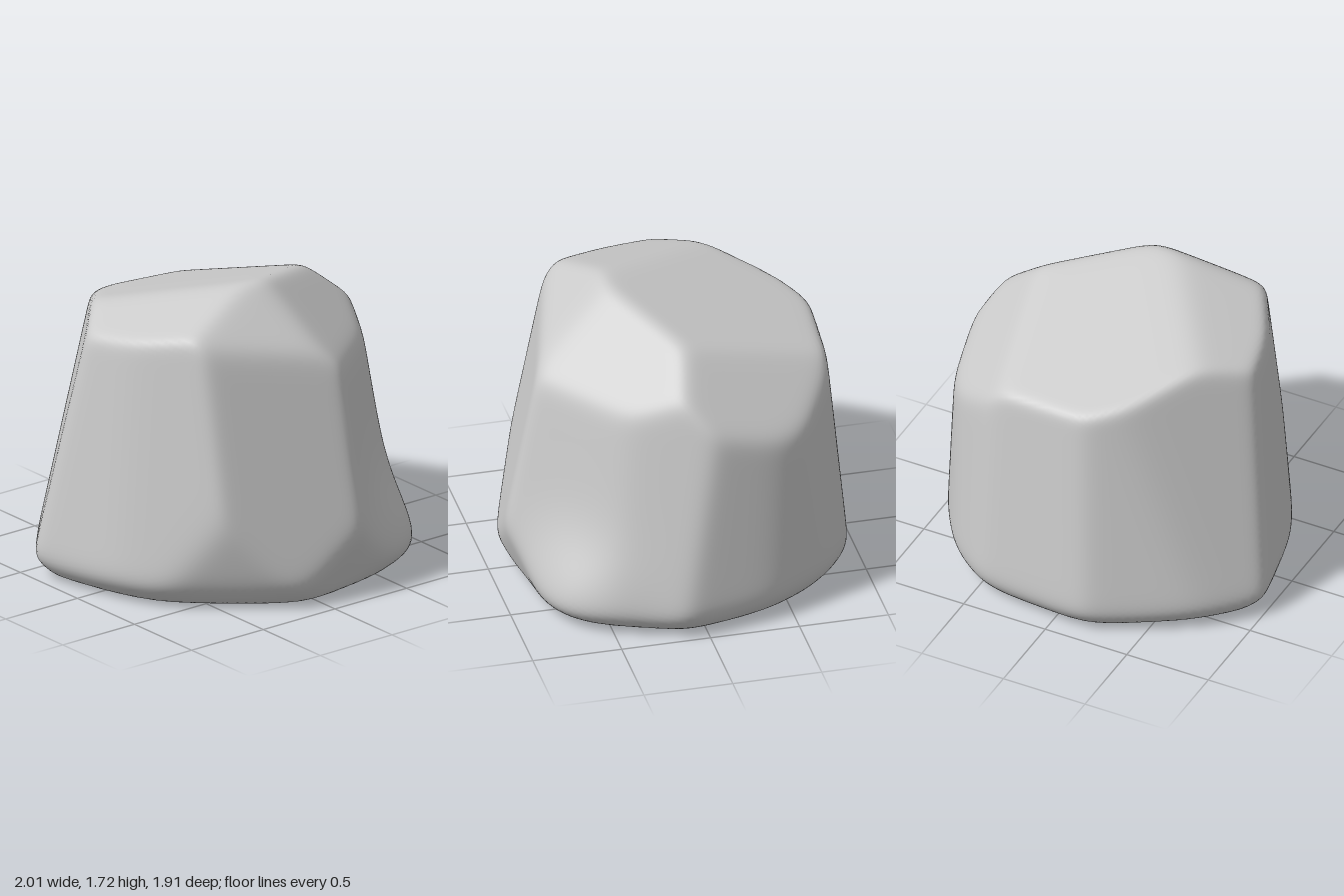
import * as THREE from 'three';
import { mergeVertices } from 'three/addons/utils/BufferGeometryUtils.js';

// Each facet of the boulder: a facing direction and a point it passes through.
const SIDES = [
  { n: [-0.25, 0.2, 1], p: [0.2, 0.6, 0.925] },       // front
  { n: [0.62, 0.15, 0.74], p: [0.23, 0.5, 0.94] },    // front left
  { n: [0.89, 0.16, 0.45], p: [0.86, 0.2, 0.45] },    // left, towards the front
  { n: [0.98, 0.06, -0.2], p: [0.935, 0.6, -0.2] },   // left
  { n: [0.845, 0.03, -0.535], p: [0.82, 0.4, -0.55] }, // left, towards the back
  { n: [0.58, 0.08, -0.8], p: [0.59, 0.4, -0.8] },    // back left
  { n: [0.07, 0.1, -1], p: [0.1, 0.35, -0.93] },      // back
  { n: [-0.5, 0.12, -0.87], p: [-0.49, 0.2, -0.81] }, // back right
  { n: [-0.76, 0.22, -0.65], p: [-0.86, 0.2, -0.53] }, // right, towards the back
  { n: [-0.97, 0.1, 0.2], p: [-0.975, 0.2, -0.15] },  // right
  { n: [-0.87, 0.1, 0.48], p: [-0.77, 0.4, 0.41] },   // right, towards the front
  { n: [-0.62, -0.2, 0.76], p: [-0.46, 0.3, 0.77] },  // front right, low down
];
const CAPS = [
  { n: [-0.38, 1, 0], p: [-0.18, 1.72, 0.28] },       // top, falling to the right
  { n: [0.06, 1, -0.31], p: [-0.1, 1.725, 0.28] },    // top, falling to the back
  { n: [-0.03, 0.41, 0.38], p: [-0.2, 1.46, 0.64] },  // upper front
  { n: [0.152, 0.232, 0.165], p: [0.48, 1.45, 0.34] }, // upper front left
  { n: [0.95, 1, -0.5], p: [0.52, 1.44, -0.38] },     // upper back left
  { n: [0.2, -0.35, 0.9], p: [0.25, 0.35, 0.94] },    // lower front
  { n: [0, -1, 0], p: [0, 0.005, 0] },                // underside
];
const RIM_HEIGHT = 0.12;
const SHARPNESS = 42;
const CENTRE = new THREE.Vector3(0, 0.75, 0);

// Blunt toe swelling out of the foot at the front left
const TOE = { at: new THREE.Vector3(0.65, 0.15, 0.65), push: [0.08, 0.1], radius: 0.32 };

// Bevel under a side facet, starting where that facet reaches the rim height
function rimBevel({ n: [nx, ny, nz], p: [px, py, pz] }) {
  const t = -ny * (RIM_HEIGHT - py) / (nx * nx + nz * nz);
  return { n: [nx, -0.9, nz], p: [px + t * nx, RIM_HEIGHT, pz + t * nz] };
}

function boulderGeometry() {
  let geo = new THREE.IcosahedronGeometry(1, 45);
  geo.deleteAttribute('uv');
  geo.deleteAttribute('normal');
  geo = mergeVertices(geo, 1e-5);

  // Scale every facing direction so its facet lies at distance one
  const planes = [...SIDES, ...SIDES.map(rimBevel), ...CAPS].map(({ n, p }) => {
    const normal = new THREE.Vector3(...n);
    return normal.divideScalar(normal.dot(new THREE.Vector3(...p).sub(CENTRE)));
  });

  // Push the sphere onto the facets, blending softly where they meet
  const pos = geo.attributes.position;
  const v = new THREE.Vector3();
  for (let i = 0; i < pos.count; i++) {
    v.fromBufferAttribute(pos, i).normalize();
    let sum = 0;
    for (const plane of planes) sum += Math.max(0, plane.dot(v)) ** SHARPNESS;
    v.multiplyScalar(sum ** (-1 / SHARPNESS)).add(CENTRE);
    const swell = Math.exp(-((v.distanceTo(TOE.at) / TOE.radius) ** 2));
    pos.setXYZ(i, v.x + TOE.push[0] * swell, v.y, v.z + TOE.push[1] * swell);
  }
  geo.computeVertexNormals();
  return geo;
}

export function createModel() {
  const group = new THREE.Group();
  group.name = 'rock';
  const boulder = new THREE.Mesh(
    boulderGeometry(),
    new THREE.MeshStandardMaterial({ color: 0xcccccc })
  );
  boulder.name = 'boulder';
  group.add(boulder);
  return group;
}
